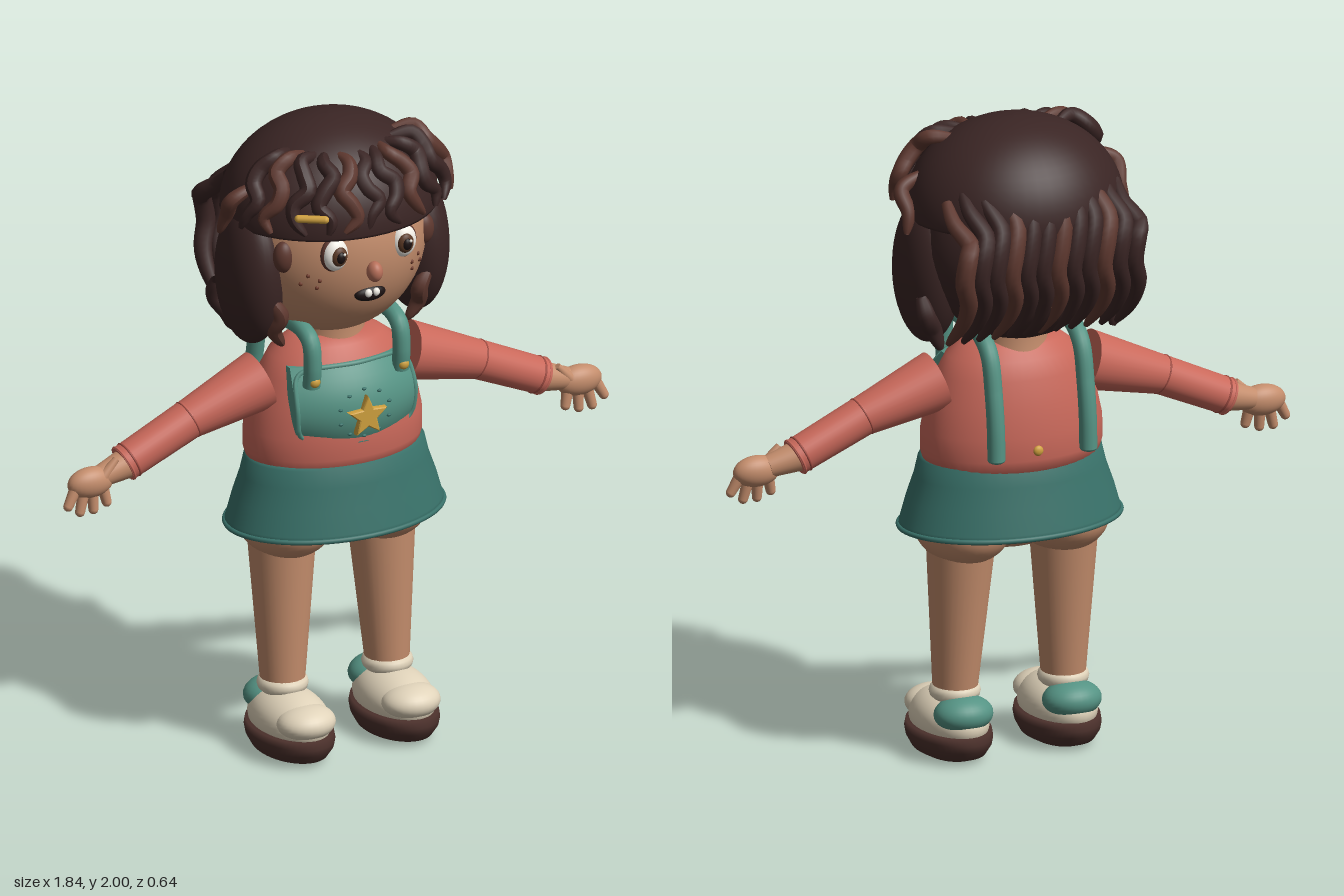
import * as THREE from 'three';

const C = {
  skin: 0xc48d6c, nose: 0xb8705a, sweater: 0xc9685a, seam: 0xa04c42, skirt: 0x39726a, strap: 0x559384,
  hair: 0x3a2524, hairLight: 0x5e382f, cream: 0xe0d3ba, sole: 0x4c312c, gold: 0xd0a13f,
  white: 0xf2eee6, iris: 0x5a3824, dark: 0x1c1212, freckle: 0x6e3a2a
};
const mats = {};
const mat = (c) => (mats[c] ??= new THREE.MeshStandardMaterial({ color: C[c], side: THREE.DoubleSide }));
const V = (x, y, z) => new THREE.Vector3(x, y, z);

function add(parent, name, geo, color, pos = [0, 0, 0], scale = [1, 1, 1]) {
  const m = new THREE.Mesh(geo, mat(color));
  m.name = name;
  m.position.set(...pos);
  m.scale.set(...scale);
  parent.add(m);
  return m;
}
const ball = (p, name, color, pos, r, seg = 28) =>
  add(p, name, new THREE.SphereGeometry(1, seg, Math.round(seg * 0.7)), color, pos, r);
const lathe = (p, name, color, pts, pos, scale) =>
  add(p, name, new THREE.LatheGeometry(pts.map(([x, y]) => new THREE.Vector2(x, y)), 48), color, pos, scale);

// Limb section: tapered cylinder between two points
function limb(p, name, color, a, b, ra, rb) {
  const d = b.clone().sub(a);
  const m = add(p, name, new THREE.CylinderGeometry(rb, ra, d.length(), 32), color);
  m.position.copy(a).add(b).multiplyScalar(0.5);
  m.quaternion.setFromUnitVectors(V(0, 1, 0), d.normalize());
  return m;
}
// Ring around a limb axis
function band(p, name, color, at, dir, r, tube) {
  const m = add(p, name, new THREE.TorusGeometry(r, tube, 8, 32), color);
  m.position.copy(at);
  m.quaternion.setFromUnitVectors(V(0, 0, 1), dir.clone().normalize());
}
// Lock of hair: a tube whose radius swells and tapers along its path
function lock(p, name, color, pts, r) {
  const curve = new THREE.CatmullRomCurve3(pts), seg = 28, rad = 10;
  const geo = new THREE.TubeGeometry(curve, seg, r, rad), pos = geo.attributes.position, v = V(0, 0, 0);
  for (let i = 0; i <= seg; i++) {
    const t = i / seg, c = curve.getPointAt(t);
    const k = Math.max(0.03, Math.pow(Math.sin(Math.PI * Math.min(0.98, t * 0.9 + 0.08)), 0.45));
    for (let j = 0; j <= rad; j++) {
      const n = i * (rad + 1) + j;
      v.fromBufferAttribute(pos, n).sub(c).multiplyScalar(k).add(c);
      pos.setXYZ(n, v.x, v.y, v.z);
    }
  }
  geo.computeVertexNormals();
  add(p, name, geo, color);
}
// Point on the bib surface, u and v from -1 to 1
const bibPoint = (u, v, d = 0) => V(
  0.205 * u * Math.sqrt(1 - 0.14 * v * v),
  1.14 + 0.122 * v * Math.sqrt(1 - 0.14 * u * u),
  0.236 - 0.018 * v - 0.045 * v * v - 0.065 * u * u + d);

function buildHead(g) {
  lathe(g, 'neck', 'skin', [[0.11, 1.28], [0.1, 1.34], [0.11, 1.42]], [0, 0, 0.01]);
  ball(g, 'head', 'skin', [0, 1.63, 0], [0.295, 0.31, 0.28], 48);
  ball(g, 'nose', 'nose', [0, 1.595, 0.288], [0.024, 0.032, 0.028]);
  ball(g, 'mouth', 'dark', [0, 1.515, 0.258], [0.052, 0.024, 0.02]);
  for (const s of [-1, 1]) {
    ball(g, 'tooth', 'white', [s * 0.013, 1.522, 0.274], [0.012, 0.013, 0.01], 12);
    ball(g, 'eyeRim', 'hairLight', [s * 0.115, 1.66, 0.248], [0.046, 0.056, 0.022]);
    ball(g, 'eyeWhite', 'white', [s * 0.115, 1.66, 0.253], [0.041, 0.051, 0.03]);
    ball(g, 'iris', 'iris', [s * 0.112, 1.66, 0.275], [0.026, 0.031, 0.015]);
    ball(g, 'pupil', 'dark', [s * 0.112, 1.66, 0.284], [0.015, 0.019, 0.012]);
    ball(g, 'eyeGlint', 'white', [s * 0.112 + 0.008, 1.672, 0.294], [0.005, 0.005, 0.004], 8);
    for (const [x, y] of [[0.155, 1.575], [0.185, 1.59], [0.2, 1.56], [0.16, 1.55]])
      ball(g, 'freckle', 'freckle', [s * x, y, 0.279 * Math.sqrt(1 - (x / 0.295) ** 2 - ((y - 1.63) / 0.31) ** 2)], [0.007, 0.007, 0.005], 8);
    ball(g, 'sideburn', 'hairLight', [s * 0.235, 1.64, 0.155], [0.034, 0.05, 0.03]);
  }
}

function buildHair(g) {
  // Smooth crown with a fringe edge
  const arc = [];
  for (let i = 0; i <= 16; i++) arc.push([Math.sin(i * Math.PI / 32), Math.cos(i * Math.PI / 32)]);
  arc.push([0.99, -0.03], [0.86, -0.03]);
  lathe(g, 'hairCrown', 'hair', arc.reverse(), [0, 1.72, 0], [0.335, 0.28, 0.298]);
  ball(g, 'backHair', 'hair', [0, 1.63, -0.07], [0.315, 0.3, 0.2], 40);
  // Wavy fringe locks lying on the crown
  const n = 11;
  for (let i = 0; i < n; i++) {
    const phi = (i / (n - 1) - 0.5) * 2.3, out = 1.0 + 0.13 * Math.min(1, Math.abs(phi));
    const pts = [];
    for (let k = 0; k <= 6; k++) {
      const th = 0.62 + k * 0.148, w = phi + 0.075 * Math.sin(k * 1.9 + i * 1.3);
      const o = k === 0 ? 0.97 : out;
      pts.push(V(0.335 * o * Math.sin(th) * Math.sin(w), 1.72 + 0.272 * o * Math.cos(th), 0.29 * Math.min(o, 1.05) * Math.sin(th) * Math.cos(w)));
    }
    lock(g, 'fringeLock', i % 3 === 1 ? 'hairLight' : 'hair', pts, 0.026);
  }
  // Row of wavy locks down the back
  for (let i = 0; i < 12; i++) {
    const x = -0.275 + i * 0.05, drop = 0.1 * (x / 0.28) ** 2;
    const path = [[1.9 - drop, -0.14], [1.85 - drop, -0.2], [1.76 - drop * 0.6, -0.262], [1.68, -0.287], [1.6, -0.29], [1.52, -0.262], [1.44, -0.215], [1.37, -0.165]];
    lock(g, 'backLock', i % 3 === 2 ? 'hairLight' : 'hair',
      path.map(([y, z], k) => V(x + 0.016 * Math.sin(k * 1.9 + 0.6), y, z)), 0.03);
  }
  // Full side bunches with loose ends
  for (const s of [-1, 1]) {
    ball(g, 'sideHair', 'hair', [s * 0.277, 1.55, 0.02], [0.095, 0.225, 0.138], 36);
    lock(g, 'sideLock', 'hairLight', [V(s * 0.27, 1.5, 0.13), V(s * 0.235, 1.44, 0.135), V(s * 0.245, 1.39, 0.11), V(s * 0.21, 1.33, 0.1)], 0.026);
    lock(g, 'sideLock', 'hair', [V(s * 0.34, 1.5, -0.08), V(s * 0.33, 1.44, -0.1), V(s * 0.3, 1.39, -0.08), V(s * 0.28, 1.33, -0.09)], 0.03);
    lock(g, 'sideLock', 'hairLight', [V(s * 0.28, 1.84, 0.05), V(s * 0.35, 1.8, 0.04), V(s * 0.345, 1.74, 0.0), V(s * 0.36, 1.68, -0.02)], 0.024);
  }
  const clip = add(g, 'hairClip', new THREE.CapsuleGeometry(0.012, 0.08, 4, 12), 'gold', [-0.205, 1.8, 0.275]);
  clip.rotation.set(0, -0.6, Math.PI / 2);
}

function buildClothes(g) {
  const oval = [1, 1, 0.69];
  lathe(g, 'sweater', 'sweater', [[0, 0.9], [0.27, 0.92], [0.285, 0.97], [0.284, 1.04], [0.265, 1.13], [0.235, 1.21], [0.205, 1.265], [0.16, 1.3], [0.115, 1.325], [0, 1.325]], [0, 0, 0.022], oval);
  lathe(g, 'skirt', 'skirt', [[0.27, 0.76], [0.335, 0.728], [0.352, 0.732], [0.345, 0.75], [0.325, 0.82], [0.3, 0.89], [0.287, 0.945], [0.27, 0.95]], [0, 0, 0.033], oval);
  add(g, 'skirtHem', new THREE.TorusGeometry(0.348, 0.008, 8, 64).rotateX(Math.PI / 2), 'skirt', [0, 0.735, 0.033], oval);
  // Bib: a box bent over the belly
  const bib = new THREE.BoxGeometry(2, 2, 2, 16, 12, 1), p = bib.attributes.position;
  for (let i = 0; i < p.count; i++) {
    const q = bibPoint(p.getX(i), p.getY(i), p.getZ(i) > 0 ? 0 : -0.05);
    p.setXYZ(i, q.x, q.y, q.z);
  }
  bib.computeVertexNormals();
  add(g, 'bib', bib, 'strap');
  const edge = [];
  for (let i = 0; i < 40; i++) {
    const a = i * Math.PI / 20, f = (t) => Math.sign(t) * Math.pow(Math.abs(t), 0.3);
    edge.push(bibPoint(0.97 * f(Math.cos(a)), 0.97 * f(Math.sin(a)), 0));
  }
  add(g, 'bibEdge', new THREE.TubeGeometry(new THREE.CatmullRomCurve3(edge, true), 120, 0.008, 6, true), 'strap');
  // Star badge with stitches around it
  const star = new THREE.Shape();
  for (let i = 0; i < 10; i++) {
    const r = i % 2 ? 0.026 : 0.06, a = Math.PI / 2 + i * Math.PI / 5;
    star[i ? 'lineTo' : 'moveTo'](r * Math.cos(a), r * Math.sin(a));
    const q = bibPoint(0.42 * Math.cos(a), -0.2 + 0.62 * Math.sin(a), 0.002);
    ball(g, 'stitch', 'skirt', q.toArray(), [0.008, 0.005, 0.005], 8);
  }
  star.closePath();
  add(g, 'star', new THREE.ExtrudeGeometry(star, { depth: 0.012, bevelSize: 0.005, bevelThickness: 0.008, bevelSegments: 2 }), 'gold', [0, 1.11, 0.233]);
  // Shoulder straps and buttons
  for (const s of [-1, 1]) {
    const path = new THREE.CatmullRomCurve3([[1.21, 0.17], [1.28, 0.178], [1.35, 0.165], [1.375, 0.11], [1.37, 0], [1.355, -0.1], [1.31, -0.155], [1.2, -0.185], [1.1, -0.2], [1.0, -0.205]].map(([y, z]) => V(s * 0.15, y, z)));
    add(g, 'strap', new THREE.TubeGeometry(path, 60, 0.027, 14), 'strap');
    ball(g, 'strapEnd', 'strap', [s * 0.15, 1.0, -0.205], [0.027, 0.012, 0.027], 14);
    ball(g, 'strapButton', 'gold', [s * 0.15, 1.23, 0.19], [0.018, 0.018, 0.015], 16);
  }
  ball(g, 'backButton', 'gold', [0, 1.0, -0.175], [0.016, 0.016, 0.01], 16);
}

function buildArm(side) {
  const g = new THREE.Group();
  g.name = side > 0 ? 'leftArm' : 'rightArm';
  const a = V(0.245, 1.195, 0.022), b = V(0.487, 1.115, 0.022), c = V(0.708, 1.015, 0.022);
  limb(g, 'upperSleeve', 'sweater', a, b, 0.092, 0.06);
  limb(g, 'lowerSleeve', 'sweater', b, c, 0.06, 0.056);
  ball(g, 'elbow', 'sweater', b.toArray(), [0.06, 0.06, 0.06]);
  const dir = c.clone().sub(b);
  band(g, 'elbowSeam', 'seam', b, dir, 0.059, 0.003);
  for (const t of [0.9, 0.98]) band(g, 'cuff', t < 0.95 ? 'seam' : 'sweater', b.clone().lerp(c, t), dir, 0.055, 0.004);
  // Hand with hanging fingers
  limb(g, 'wrist', 'skin', V(0.69, 1.02, 0.025), V(0.79, 0.995, 0.032), 0.048, 0.034);
  ball(g, 'palm', 'skin', [0.825, 0.985, 0.036], [0.075, 0.048, 0.04]);
  limb(g, 'thumb', 'skin', V(0.79, 1.0, 0.05), V(0.745, 1.05, 0.05), 0.018, 0.01);
  for (const [x, y, tx, ty] of [[0.785, 0.96, 0.775, 0.915], [0.82, 0.955, 0.82, 0.9], [0.85, 0.96, 0.865, 0.9], [0.88, 0.97, 0.905, 0.925]]) {
    limb(g, 'finger', 'skin', V(x, y, 0.04), V(tx, ty, 0.045), 0.018, 0.015);
    ball(g, 'fingertip', 'skin', [tx, ty, 0.045], [0.015, 0.015, 0.015], 14);
  }
  g.scale.x = side;
  return g;
}

function buildLeg(side) {
  const g = new THREE.Group();
  g.name = side > 0 ? 'leftLeg' : 'rightLeg';
  ball(g, 'thigh', 'skin', [0.16, 0.73, 0.02], [0.142, 0.112, 0.168], 36);
  limb(g, 'shin', 'skin', V(0.168, 0.68, 0.015), V(0.177, 0.2, 0.038), 0.104, 0.066);
  const ring = add(g, 'sock', new THREE.TorusGeometry(0.052, 0.026, 12, 32), 'cream', [0.177, 0.212, 0.038]);
  ring.rotation.x = Math.PI / 2;
  // Shoe
  lathe(g, 'sole', 'sole', [[0, 0.005], [0.6, 0.005], [0.85, 0.022], [0.97, 0.05], [1, 0.072], [0.97, 0.095], [0, 0.1]], [0.177, 0, 0.082], [0.12, 1, 0.183]);
  ball(g, 'shoeUpper', 'cream', [0.177, 0.115, 0.08], [0.108, 0.09, 0.172], 36);
  ball(g, 'toeCap', 'cream', [0.177, 0.135, 0.185], [0.092, 0.052, 0.08]);
  ball(g, 'heelPatch', 'strap', [0.177, 0.155, -0.025], [0.092, 0.056, 0.075]);
  g.scale.x = side;
  return g;
}

export function createModel() {
  const g = new THREE.Group();
  g.name = 'doll';
  buildHead(g);
  buildHair(g);
  buildClothes(g);
  ball(g, 'hips', 'skin', [0, 0.78, 0.025], [0.22, 0.13, 0.16], 36);
  for (const s of [-1, 1]) g.add(buildArm(s), buildLeg(s));
  return g;
}
